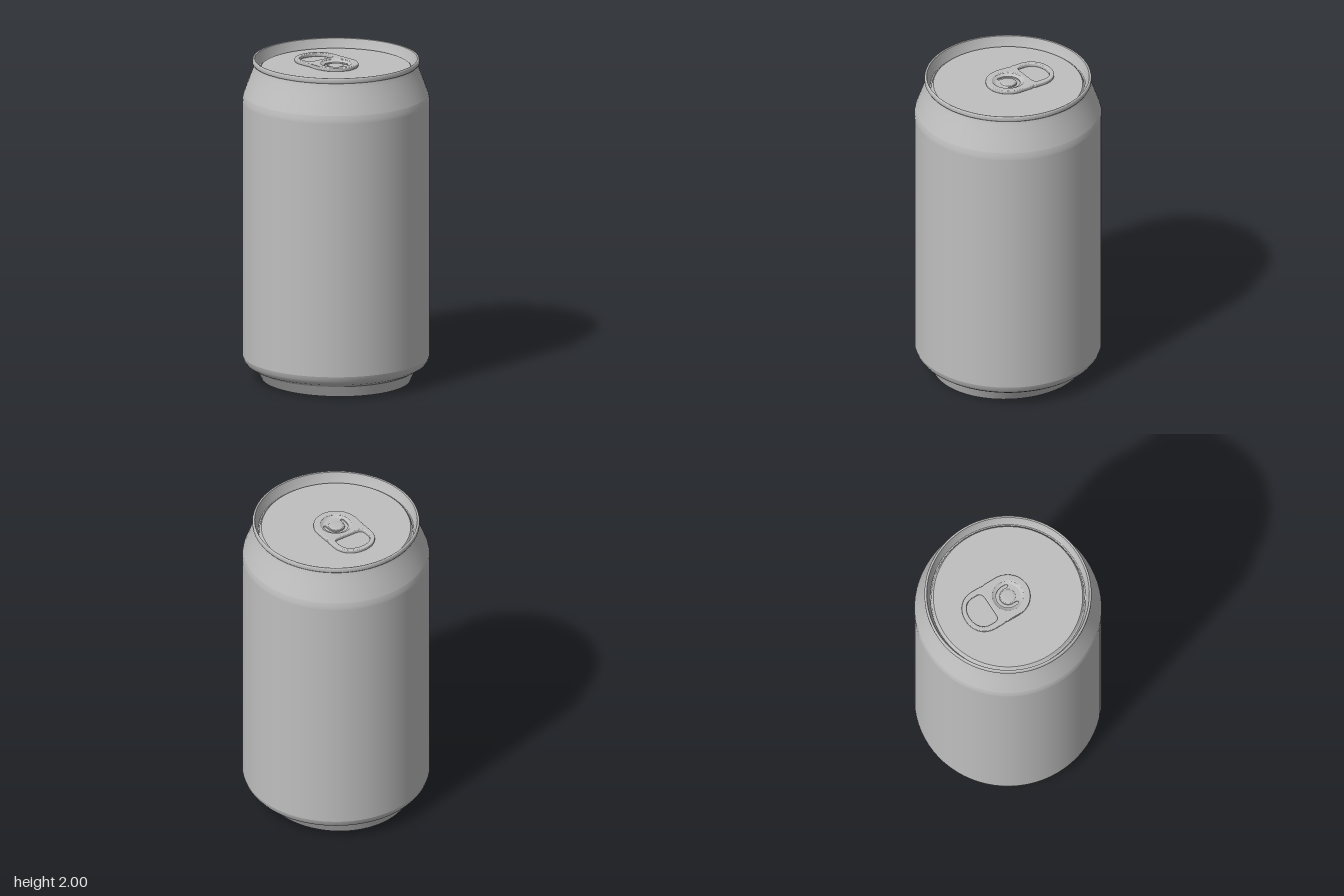
import * as THREE from 'three';

const aluminium = new THREE.MeshStandardMaterial({ color: 0xbfbfbf });
aluminium.name = 'aluminium';

function add(group, name, geometry) {
  const mesh = new THREE.Mesh(geometry, aluminium);
  mesh.name = name;
  group.add(mesh);
  return mesh;
}

// Revolved section; separate sections keep the edges between them sharp
function lathe(points) {
  return new THREE.LatheGeometry(points.map(([r, y]) => new THREE.Vector2(r, y)), 72);
}

// Narrows the foot slightly from front to back towards the ground
function narrowFoot(geometry) {
  const p = geometry.attributes.position;
  for (let i = 0; i < p.count; i++) {
    const t = Math.min(1, p.getY(i) / 0.075);
    p.setZ(i, p.getZ(i) * (0.945 + 0.055 * t));
  }
  geometry.computeVertexNormals();
  return geometry;
}

// Plate drawn in plan (shape y points to the back), standing on height y
function plate(shape, y, depth, bevel) {
  const g = new THREE.ExtrudeGeometry(shape, {
    depth: depth - 2 * bevel, bevelEnabled: bevel > 0, bevelSize: bevel,
    bevelThickness: bevel, bevelOffset: -bevel, bevelSegments: 3, curveSegments: 28,
  });
  g.rotateX(-Math.PI / 2);
  g.translate(0, y + bevel, 0);
  return g;
}

// Pull tab with finger hole, sunken tongue and rivet
function createTab() {
  const tab = new THREE.Group();
  tab.name = 'pullTab';
  const base = 1.947, top = 1.97;

  const outline = new THREE.Shape();
  outline.moveTo(-0.17, -0.137);
  outline.lineTo(-0.115, -0.137);
  outline.lineTo(-0.1, -0.133);
  outline.lineTo(-0.085, -0.137);
  outline.lineTo(0, -0.137);
  outline.absarc(-0.002, 0, 0.137, -Math.PI / 2, Math.PI / 2, false);
  outline.lineTo(-0.085, 0.137);
  outline.lineTo(-0.1, 0.133);
  outline.lineTo(-0.115, 0.137);
  outline.lineTo(-0.17, 0.137);
  outline.bezierCurveTo(-0.255, 0.137, -0.302, 0.075, -0.302, 0);
  outline.bezierCurveTo(-0.302, -0.075, -0.255, -0.137, -0.17, -0.137);

  const finger = new THREE.Path();
  finger.moveTo(-0.185, 0.103);
  finger.lineTo(-0.16, 0.103);
  finger.quadraticCurveTo(-0.125, 0.103, -0.125, 0.06);
  finger.lineTo(-0.125, -0.06);
  finger.quadraticCurveTo(-0.125, -0.103, -0.16, -0.103);
  finger.lineTo(-0.185, -0.103);
  finger.bezierCurveTo(-0.245, -0.103, -0.273, -0.055, -0.273, 0);
  finger.bezierCurveTo(-0.273, 0.055, -0.245, 0.103, -0.185, 0.103);
  const well = new THREE.Path();
  well.absarc(0, 0, 0.094, 0, Math.PI * 2, true);
  outline.holes.push(finger, well);
  add(tab, 'tabFrame', plate(outline, base, top - base, 0.006));

  // Sloping wall of the sunken part
  add(tab, 'tabWell', lathe([[0.104, top], [0.098, top - 0.002], [0.088, 1.96], [0.078, 1.955]].reverse()))
    .geometry.scale(1, 1, 1);
  tab.children[1].geometry = lathe([[0.102, top], [0.096, top - 0.003], [0.086, 1.959], [0.077, 1.955]]);

  // Tongue with a C-shaped slot opening to the left
  const tongue = new THREE.Shape();
  tongue.absarc(0, 0, 0.08, 0, Math.PI * 2, false);
  const slot = new THREE.Path();
  const a = Math.PI / 2;
  slot.moveTo(0.026, 0.073);
  slot.lineTo(0, 0.073);
  slot.absarc(0, 0, 0.073, a, 3 * a, false);
  slot.lineTo(0.026, -0.073);
  slot.absarc(0.026, -0.063, 0.01, -a, a, false);
  slot.lineTo(0, -0.053);
  slot.absarc(0, 0, 0.053, 3 * a, a, true);
  slot.lineTo(0.026, 0.053);
  slot.absarc(0.026, 0.063, 0.01, -a, a, false);
  tongue.holes.push(slot);
  add(tab, 'tabTongue', plate(tongue, base, 0.008, 0));
  add(tab, 'rivet', lathe([[0.046, 1.954], [0.043, 1.958], [0.03, 1.96], [0, 1.96]]));
  return tab;
}

export function createModel() {
  const can = new THREE.Group();
  can.name = 'drinkCan';

  // Underside and foot
  add(can, 'bottomDome', lathe([[0, 0.115], [0.15, 0.112], [0.3, 0.103], [0.42, 0.088]]));
  add(can, 'footInside', narrowFoot(lathe([[0.42, 0.088], [0.432, 0.05], [0.452, 0.004]])));
  add(can, 'footLip', narrowFoot(lathe([[0.452, 0.004], [0.459, 0], [0.466, 0.001]])));
  add(can, 'footOutside', narrowFoot(lathe([[0.466, 0.001], [0.478, 0.04], [0.487, 0.07]])));

  // Body
  add(can, 'bodyFillet', lathe([[0.487, 0.07], [0.5, 0.079], [0.525, 0.09], [0.547, 0.106], [0.56, 0.126], [0.567, 0.15]]));
  add(can, 'bodyWall', lathe([[0.567, 0.15], [0.567, 1.735]]));
  add(can, 'shoulder', lathe([[0.567, 1.735], [0.566, 1.755], [0.56, 1.78]]));
  add(can, 'neck', lathe([[0.56, 1.78], [0.525, 1.875], [0.5, 1.94], [0.494, 1.967]]));

  // Rolled rim and lid
  add(can, 'rim', lathe([[0.494, 1.967], [0.502, 1.967], [0.506, 1.974], [0.506, 1.992], [0.502, 1.999], [0.497, 2], [0.492, 1.997]]));
  add(can, 'rimInside', lathe([[0.492, 1.997], [0.484, 1.965], [0.471, 1.93]]));
  add(can, 'lidGroove', lathe([[0.471, 1.93], [0.466, 1.926], [0.461, 1.93], [0.458, 1.94], [0.452, 1.945]]));
  add(can, 'lid', lathe([[0.452, 1.945], [0.2, 1.946], [0, 1.946]]));
  can.add(createTab());
  return can;
}
